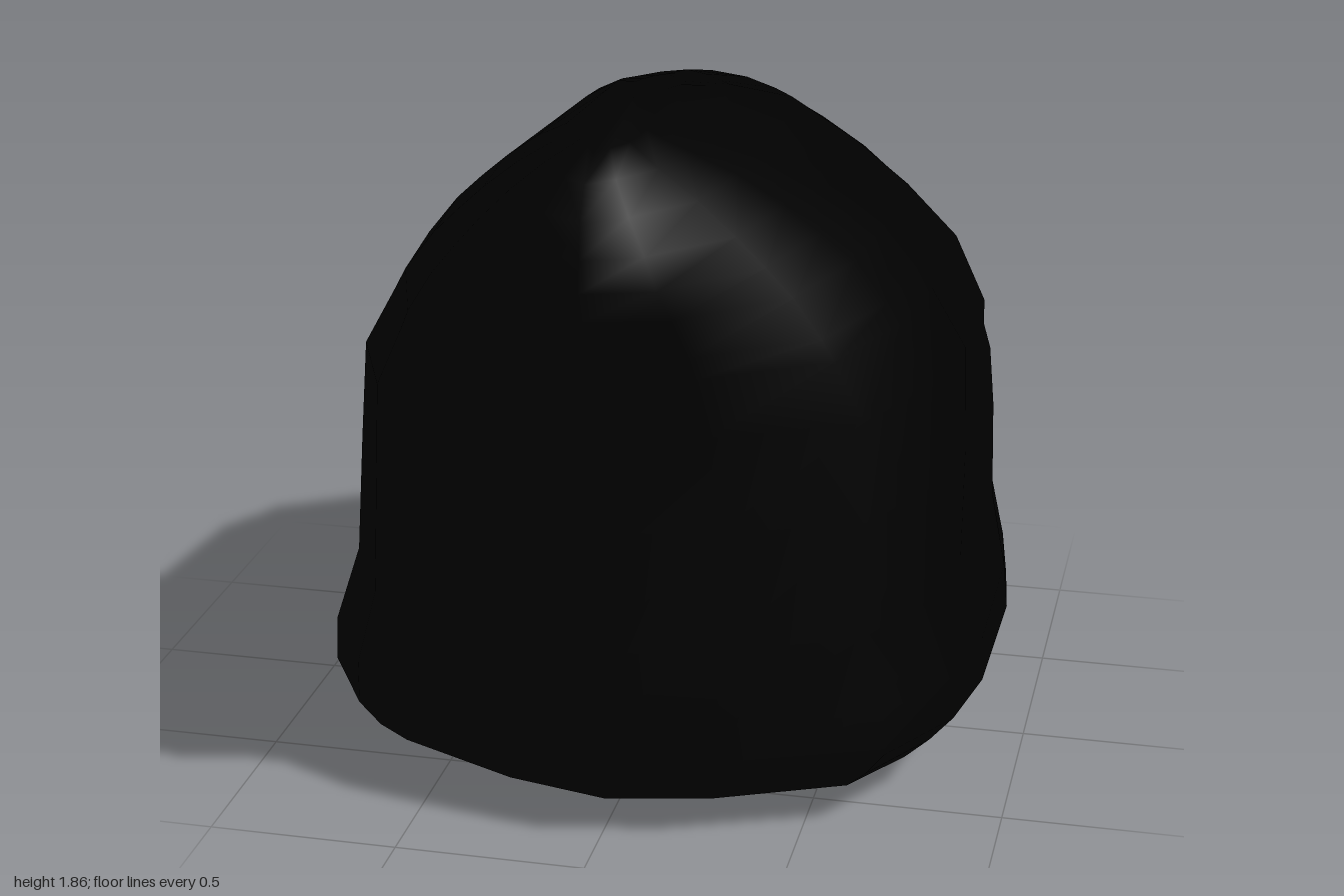
import * as THREE from 'three';

// One row per level, bottom to top:
// height, front z, half width, front corner z, rim z, rim x / half width, back z, rim sag, rim inset
const lowerLevels = [
  [0.04, 0.66, 0.65, 0.5, -0.37, 0.92, -0.43, 0, 0],
  [0.085, 0.78, 0.77, 0.57, -0.48, 0.95, -0.55, 0, 0],
  [0.15, 0.83, 0.84, 0.62, -0.56, 0.96, -0.6, 0, 0],
  [0.22, 0.86, 0.905, 0.64, -0.6, 0.965, -0.6, 0, 0],
  [0.34, 0.875, 0.9, 0.65, -0.6, 0.955, -0.61, 0, 0],
  [0.55, 0.89, 0.83, 0.65, -0.62, 0.98, -0.67, 0.02, 0],
  [0.85, 0.83, 0.825, 0.62, -0.67, 0.965, -0.755, 0.1, 0.01],
  [1.12, 0.87, 0.81, 0.62, -0.71, 0.955, -0.8, 0.25, 0.03],
  [1.28, 0.9, 0.715, 0.64, -0.73, 1.05, -0.88, 0.36, 0.03],
];
const upperLevels = [
  [1.34, 0.92, 0.68, 0.66, -0.755, 1.1, -1.0, 0.36, -0.02],
  [1.45, 0.97, 0.59, 0.68, -0.73, 1.13, -0.92, 0.26, -0.02],
  [1.53, 1.0, 0.505, 0.7, -0.64, 1.08, -0.81, 0.16, -0.02],
  [1.61, 0.99, 0.415, 0.72, -0.5, 1.0, -0.68, 0.08, -0.02],
  [1.7, 0.975, 0.3, 0.74, -0.33, 0.92, -0.52, 0.02, -0.02],
  [1.78, 0.93, 0.18, 0.76, -0.05, 0.85, -0.2, 0, -0.02],
  [1.83, 0.84, 0.08, 0.72, 0.15, 0.8, 0.05, 0, 0],
];

// Half outline from the front ridge around the +x side to the back centre
function halfOutline([y, zf, w, corner, rim, rimX, zb, sag, inset]) {
  const xr = w * rimX;
  const rear = rim + Math.max(0.1, 0.28 - 0.17 * y);
  const sideZ = (t) => corner + (rear - corner) * t;
  return [
    [0, y, zf],
    [0.35 * w, y, zf - 0.06],
    [0.78 * w, y, corner],
    [0.94 * w, y, sideZ(0.25)],
    [0.99 * w, y, sideZ(0.5)],
    [xr * 1.035, y - sag * 0.85, rear],
    [xr, y - sag, rim],
    [xr * 0.95, y - sag * 0.93, rim + inset],
    [xr * 0.75, y - sag * 0.45, rim + (zb - rim) * 0.35],
    [xr * 0.4, y - sag * 0.08, rim + (zb - rim) * 0.76],
    [0, y, zb],
  ];
}

function shellGeometry() {
  const rings = [...lowerLevels, ...upperLevels].map((level) => {
    const half = halfOutline(level);
    const mirrored = half.slice(1, -1).reverse().map(([x, y, z]) => [-x, y, z]);
    return [...half, ...mirrored];
  });
  const n = rings[0].length;
  const points = rings.flat();
  const index = [];
  for (let i = 0; i < rings.length - 1; i++) {
    for (let j = 0; j < n; j++) {
      const a = i * n + j, b = i * n + (j + 1) % n;
      // Flip the diagonal on the -x half so both halves match
      if (j < n / 2) index.push(a, b, b + n, a, b + n, a + n);
      else index.push(a, b, a + n, b, b + n, a + n);
    }
  }
  // Close the underside and the crest
  const bottom = points.push([0, 0, 0.5]) - 1;
  const top = points.push([0, 1.86, 0.42]) - 1;
  const last = (rings.length - 1) * n;
  for (let j = 0; j < n; j++) {
    const k = (j + 1) % n;
    index.push(bottom, k, j, top, last + j, last + k);
  }
  const geometry = new THREE.BufferGeometry();
  geometry.setAttribute('position', new THREE.Float32BufferAttribute(points.flat(), 3));
  geometry.setIndex(index);
  geometry.computeVertexNormals();
  return geometry;
}

export function createModel() {
  const group = new THREE.Group();
  group.name = 'ridgedHood';
  const black = new THREE.MeshStandardMaterial({ color: 0x000000 });
  black.name = 'black';

  // Ridged shell with an arched lip above the recessed back
  const shell = new THREE.Mesh(shellGeometry(), black);
  shell.name = 'hoodShell';
  group.add(shell);
  return group;
}
